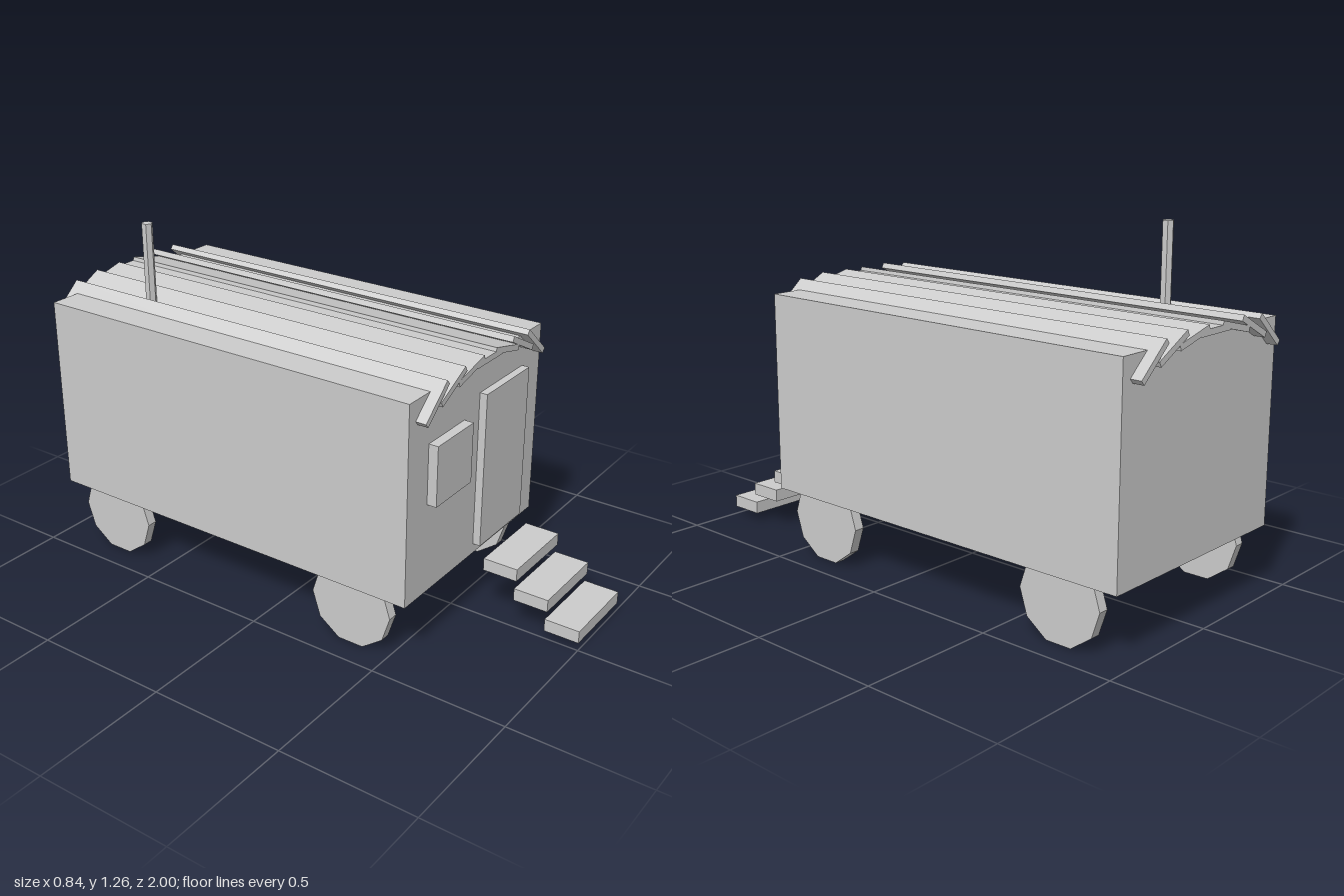
import * as THREE from 'three';

export function createModel() {
  const model = new THREE.Group();
  model.name = 'wagon';
  const material = new THREE.MeshStandardMaterial({ color: 0xcccccc, flatShading: true });

  const add = (name, geometry, x, y, z) => {
    const mesh = new THREE.Mesh(geometry, material);
    mesh.name = name;
    mesh.position.set(x, y, z);
    model.add(mesh);
    return mesh;
  };
  // Box given by its minimum and maximum corners
  const box = (name, [x0, y0, z0], [x1, y1, z1]) =>
    add(name, new THREE.BoxGeometry(x1 - x0, y1 - y0, z1 - z0),
      (x0 + x1) / 2, (y0 + y1) / 2, (z0 + z1) / 2);

  // Cabin with door and window on the front wall
  box('cabin', [-0.422, 0.228, -0.96], [0.422, 0.955, 0.572]);
  box('door', [0.01, 0.265, 0.55], [0.297, 0.838, 0.6]);
  box('window', [-0.303, 0.558, 0.55], [-0.085, 0.775, 0.607]);

  // Arched roof of seven overlapping planks
  const plank = new THREE.BoxGeometry(0.16, 0.021, 1.61);
  for (let i = -3; i <= 3; i++) {
    const angle = i * 0.24;
    const mesh = add('roofPlank', plank,
      0.483 * Math.sin(angle), 0.793 + 0.18 * Math.cos(angle), -0.195);
    mesh.rotation.z = -angle;
  }

  // Stove pipe
  add('chimney', new THREE.CylinderGeometry(0.02, 0.02, 0.32, 6), -0.232, 1.1, -0.655);

  // Ten-sided wheels
  const wheel = new THREE.CylinderGeometry(0.158, 0.158, 0.038, 10).rotateZ(Math.PI / 2);
  for (const x of [-0.387, 0.387]) {
    for (const z of [0.347, -0.73]) add('wheel', wheel, x, 0.15, z);
  }

  // Floating steps up to the door
  const step = new THREE.BoxGeometry(0.305, 0.046, 0.13);
  for (let i = 0; i < 3; i++) add('step', step, 0.152, 0.052 + i * 0.077, 0.935 - i * 0.123);

  return model;
}
